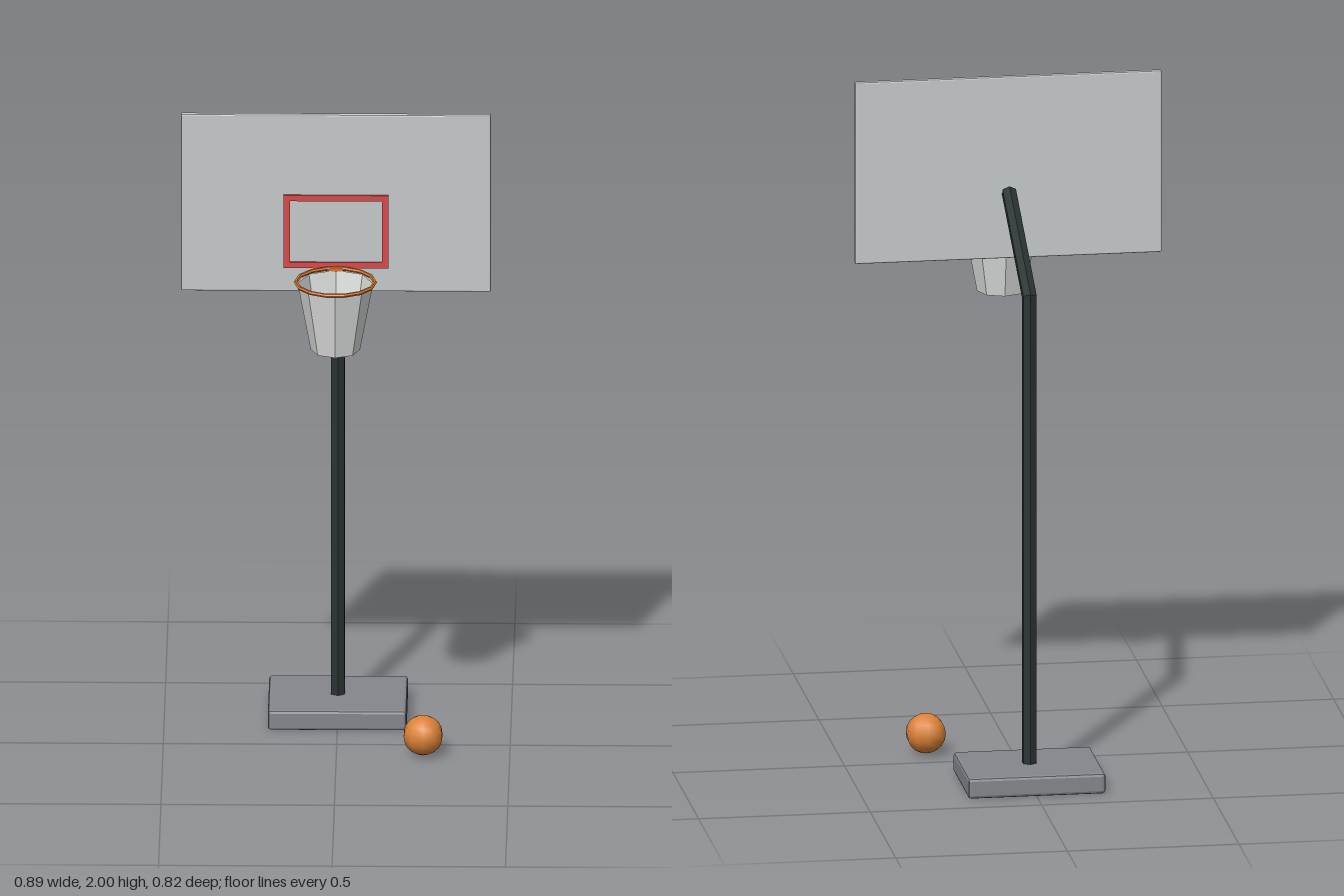
import * as THREE from 'three';
import { RoundedBoxGeometry } from 'three/addons/geometries/RoundedBoxGeometry.js';

const paint = (name, color, side = THREE.FrontSide) => {
  const m = new THREE.MeshStandardMaterial({ color, side });
  m.name = name;
  return m;
};

// Faceted normals for low-poly parts
function faceted(geometry) {
  const g = geometry.index ? geometry.toNonIndexed() : geometry;
  g.computeVertexNormals();
  return g;
}

// Box with a single chamfer on every edge
const chamferBox = (w, h, d, r) => faceted(new RoundedBoxGeometry(w, h, d, 1, r));

// Hexagonal tube through three points in the YZ plane, mitred at the middle one
function bentPole(points, radius) {
  const g = new THREE.CylinderGeometry(radius, radius, 2, 6, 2);
  const [a, b, c] = points;
  const d1 = b.clone().sub(a).normalize();
  const d2 = c.clone().sub(b).normalize();
  const mitre = d1.clone().add(d2).normalize();
  const stretch = 1 / mitre.dot(d1);
  const rings = [
    { p: a, dir: d1, k: 1 },
    { p: b, dir: mitre, k: stretch },
    { p: c, dir: d2, k: 1 },
  ];
  const pos = g.attributes.position;
  for (let i = 0; i < pos.count; i++) {
    const { p, dir, k } = rings[Math.round(pos.getY(i)) + 1];
    const z = pos.getZ(i) * k;
    pos.setXYZ(i, pos.getX(i), p.y - dir.z * z, p.z + dir.y * z);
  }
  return faceted(g);
}

// Flat rectangular frame, built around its centre
function frame(w, h, border, depth) {
  const rect = (path, x, y) =>
    path.moveTo(-x, -y).lineTo(x, -y).lineTo(x, y).lineTo(-x, y).closePath();
  const shape = new THREE.Shape();
  rect(shape, w / 2, h / 2);
  const hole = new THREE.Path();
  rect(hole, w / 2 - border, h / 2 - border);
  shape.holes.push(hole);
  return new THREE.ExtrudeGeometry(shape, { depth, bevelEnabled: false });
}

export function createModel() {
  const model = new THREE.Group();
  model.name = 'basketballHoop';

  const grey = paint('baseGrey', 0x85878d);
  const dark = paint('poleDark', 0x2a3433);
  const pale = paint('boardGrey', 0xc6cbcb);
  const red = paint('targetRed', 0xd94a4a);
  const orange = paint('rimOrange', 0xd8772f);
  const ballOrange = paint('ballOrange', 0xdc8238);
  const white = paint('netWhite', 0xdcdddd, THREE.DoubleSide);

  const add = (name, geometry, material, x = 0, y = 0, z = 0) => {
    const mesh = new THREE.Mesh(geometry, material);
    mesh.name = name;
    mesh.position.set(x, y, z);
    model.add(mesh);
    return mesh;
  };

  // Stand
  add('base', chamferBox(0.4, 0.061, 0.3, 0.009), grey, 0, 0.0305, -0.26);
  add('pole', bentPole([
    new THREE.Vector3(0, 0.03, -0.26),
    new THREE.Vector3(0, 1.453, -0.26),
    new THREE.Vector3(0, 1.658, 0.139),
  ], 0.0225), dark);

  // Backboard with its target frame
  add('backboard', chamferBox(0.894, 0.543, 0.017, 0.004), pale, 0, 1.7285, 0.1585);
  add('targetFrame', frame(0.302, 0.224, 0.018, 0.006), red, 0, 1.642, 0.1665);

  // Rim, bracket and open net
  const hoopZ = 0.289;
  const rim = new THREE.TorusGeometry(0.114, 0.006, 6, 14);
  rim.rotateX(Math.PI / 2);
  add('rim', faceted(rim), orange, 0, 1.531, hoopZ);
  add('rimBracket', new THREE.BoxGeometry(0.04, 0.01, 0.02), orange, 0, 1.531, 0.176);
  add('net', faceted(new THREE.CylinderGeometry(0.109, 0.071, 0.203, 8, 1, true)),
    white, 0, 1.4255, hoopZ);

  // Ball beside the base
  const ball = new THREE.SphereGeometry(0.0585, 10, 10);
  ball.rotateY(Math.PI / 2);
  add('ball', ball, ballOrange, 0.25, 0.0635, 0.089);

  return model;
}
